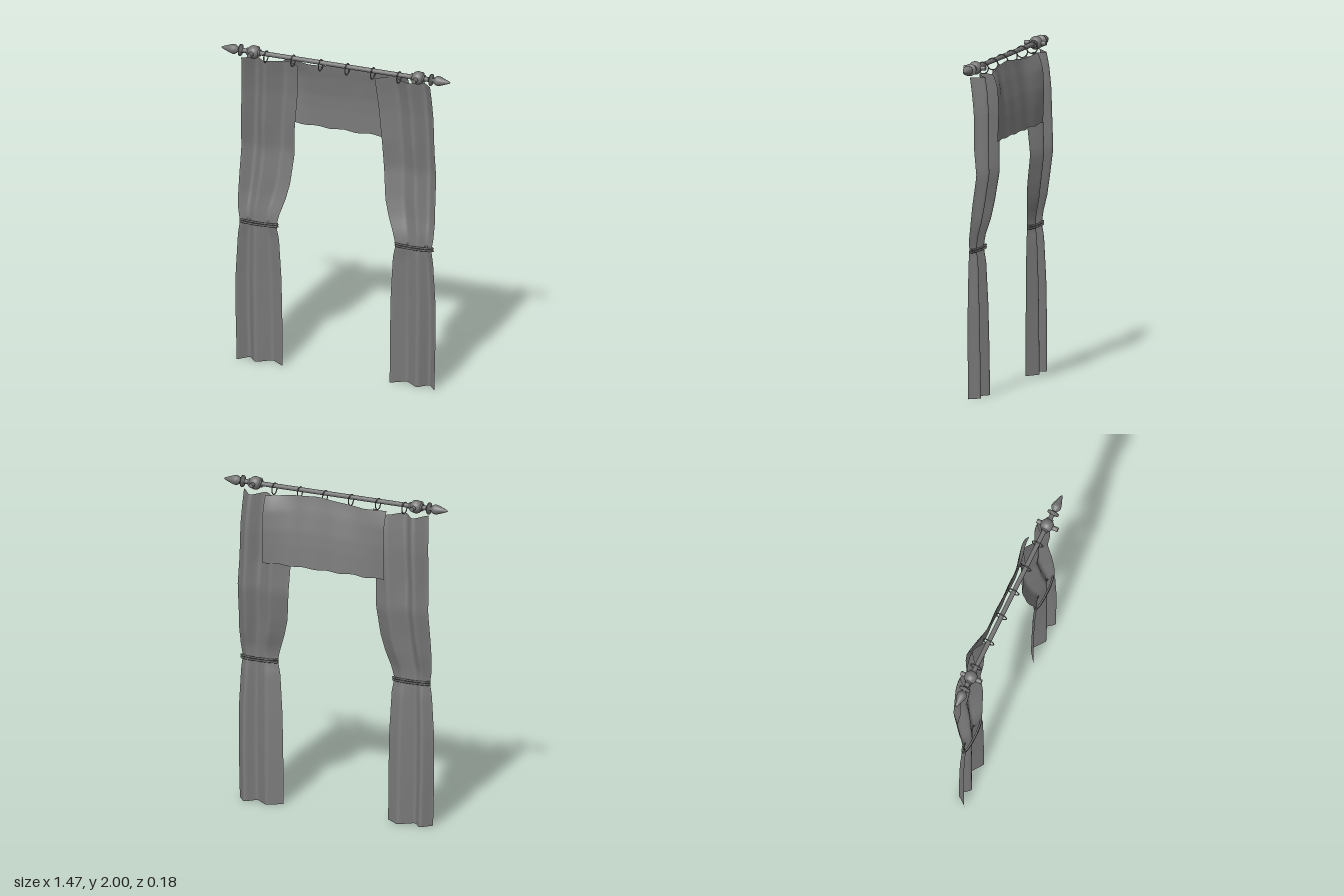
import * as THREE from 'three';

const ROD_Y = 1.96, ROD_Z = 0.02;
const metal = new THREE.MeshStandardMaterial({ color: 0x757575 });
const cloth = new THREE.MeshStandardMaterial({ color: 0x7d7d7d, side: THREE.DoubleSide });

// Linear lookup in rows of [key, a, b, ...]
function lookup(rows, t) {
  let i = 0;
  while (i < rows.length - 2 && t > rows[i + 1][0]) i++;
  const a = rows[i], b = rows[i + 1];
  const k = THREE.MathUtils.clamp((t - a[0]) / (b[0] - a[0]), 0, 1);
  return a.map((v, j) => v + (b[j] - v) * k);
}

// Sheet of cloth from a rule point(u, v)
function sheet(point, cols, rows) {
  const pos = [], idx = [];
  for (let j = 0; j <= rows; j++)
    for (let i = 0; i <= cols; i++) pos.push(...point(i / cols, j / rows));
  for (let j = 0; j < rows; j++)
    for (let i = 0; i < cols; i++) {
      const a = j * (cols + 1) + i, b = a + 1, c = a + cols + 1, d = c + 1;
      idx.push(a, b, d, a, d, c);
    }
  const g = new THREE.BufferGeometry();
  g.setAttribute('position', new THREE.Float32BufferAttribute(pos, 3));
  g.setIndex(idx);
  g.computeVertexNormals();
  return g;
}

function add(parent, name, geometry, material, x = 0, y = 0, z = 0) {
  const m = new THREE.Mesh(geometry, material);
  m.name = name;
  m.position.set(x, y, z);
  parent.add(m);
  return m;
}

// Curtain outline by height: y, inner x, outer x, back z, front z
const OUTLINE = [
  [0, 0.343, 0.633, -0.042, 0.031], [0.3, 0.345, 0.64, -0.038, 0.031],
  [0.55, 0.35, 0.64, -0.032, 0.03], [0.8, 0.365, 0.625, -0.02, 0.03],
  [0.88, 0.382, 0.613, -0.006, 0.028], [0.95, 0.365, 0.625, -0.014, 0.026],
  [1.05, 0.33, 0.63, -0.042, 0.015], [1.15, 0.305, 0.628, -0.06, 0.006],
  [1.33, 0.287, 0.624, -0.086, -0.018], [1.5, 0.28, 0.62, -0.084, 0],
  [1.7, 0.262, 0.615, -0.08, 0.002], [1.82, 0.252, 0.61, -0.07, 0.016],
  [1.91, 0.245, 0.605, -0.055, 0.03],
];
// Folds across the curtain from inner to outer edge: u, depth (0 back, 1 front)
const FOLDS = [[0, 0.85], [0.3, 0], [0.6, 0.95], [0.8, 0], [1, 1]];

function curtainPoint(u, v) {
  const hem = v > 0.999 ? 0.004 * Math.sin(u * 14) : 0;
  const [y, inner, outer, back, front] = lookup(OUTLINE, v * 1.91);
  let depth = 0;
  for (const o of [-0.035, 0, 0.035]) depth += lookup(FOLDS, THREE.MathUtils.clamp(u + o, 0, 1))[1] / 3;
  return [inner + (outer - inner) * u, y + hem, back + (front - back) * depth];
}

// Valance side profile: v, z at the middle, z at the ends
const SAG = [[0, -0.076, -0.083], [0.3, -0.07, -0.088], [0.5, -0.062, -0.09],
  [0.78, -0.042, -0.083], [0.92, -0.028, -0.065], [1, -0.022, -0.05]];
// Valance upper edge: x, y
const TOP = [[-0.365, 1.93], [-0.2, 1.915], [0, 1.935], [0.1, 1.945], [0.25, 1.935], [0.43, 1.918]];

function valancePoint(u, v) {
  const x = -0.365 + 0.795 * u;
  const bottom = 1.512 + 0.004 * Math.sin(u * 30);
  const [, middle, end] = lookup(SAG, v);
  const bow = THREE.MathUtils.smoothstep(Math.abs(2 * u - 1), 0.45, 1);
  const z = middle + (end - middle) * bow + 0.002 * Math.sin(u * 25);
  return [x, bottom + (lookup(TOP, x)[1] - bottom) * v, z];
}

// Closed oval cord around the gathered cloth
class Oval extends THREE.Curve {
  getPoint(t, target = new THREE.Vector3()) {
    const a = t * Math.PI * 2;
    return target.set(0.12 * Math.cos(a), 0, 0.021 * Math.sin(a));
  }
}

function buildSide(s) {
  const side = new THREE.Group();
  side.name = s > 0 ? 'leftSide' : 'rightSide';

  add(side, 'curtain', sheet((u, v) => {
    const p = curtainPoint(s > 0 ? u : 1 - u, v);
    return [p[0] * s, p[1], p[2]];
  }, 48, 60), cloth);

  for (const y of [0.874, 0.888])
    add(side, 'tieBack', new THREE.TubeGeometry(new Oval(), 48, 0.006, 8, true), metal, s * 0.4975, y, 0.012);

  // Spear-shaped finial with its collar
  const profile = [[0, 0.595], [0.015, 0.595], [0.015, 0.607], [0.036, 0.607], [0.036, 0.614],
    [0.011, 0.614], [0.011, 0.625], [0.02, 0.632], [0.028, 0.645], [0.03, 0.655],
    [0.026, 0.672], [0.016, 0.7], [0.007, 0.725], [0, 0.735]];
  const finial = add(side, 'finial',
    new THREE.LatheGeometry(profile.map(p => new THREE.Vector2(...p)), 20), metal, 0, ROD_Y, ROD_Z);
  finial.rotation.z = -s * Math.PI / 2;

  // Ball bracket with its wall stem
  add(side, 'bracketBall', new THREE.SphereGeometry(0.04, 24, 16), metal, s * 0.527, ROD_Y, ROD_Z);
  add(side, 'bracketStem', new THREE.CylinderGeometry(0.014, 0.014, 0.135, 16), metal,
    s * 0.527, ROD_Y, 0.0225).rotation.x = Math.PI / 2;
  for (const x of [0.49, 0.564])
    add(side, 'bracketCollar', new THREE.CylinderGeometry(0.022, 0.022, 0.012, 16), metal,
      s * x, ROD_Y, ROD_Z).rotation.z = Math.PI / 2;
  return side;
}

export function createModel() {
  const model = new THREE.Group();
  model.name = 'curtains';

  add(model, 'rod', new THREE.CylinderGeometry(0.014, 0.014, 1.2, 16), metal, 0, ROD_Y, ROD_Z)
    .rotation.z = Math.PI / 2;
  for (const x of [-0.45, -0.277, -0.1, 0.07, 0.235, 0.402])
    add(model, 'ring', new THREE.TorusGeometry(0.034, 0.0035, 8, 28), metal, x, 1.942, ROD_Z - 0.003)
      .rotation.y = Math.PI / 2;

  add(model, 'valance', sheet(valancePoint, 40, 20), cloth);
  for (const s of [1, -1]) model.add(buildSide(s));
  return model;
}
